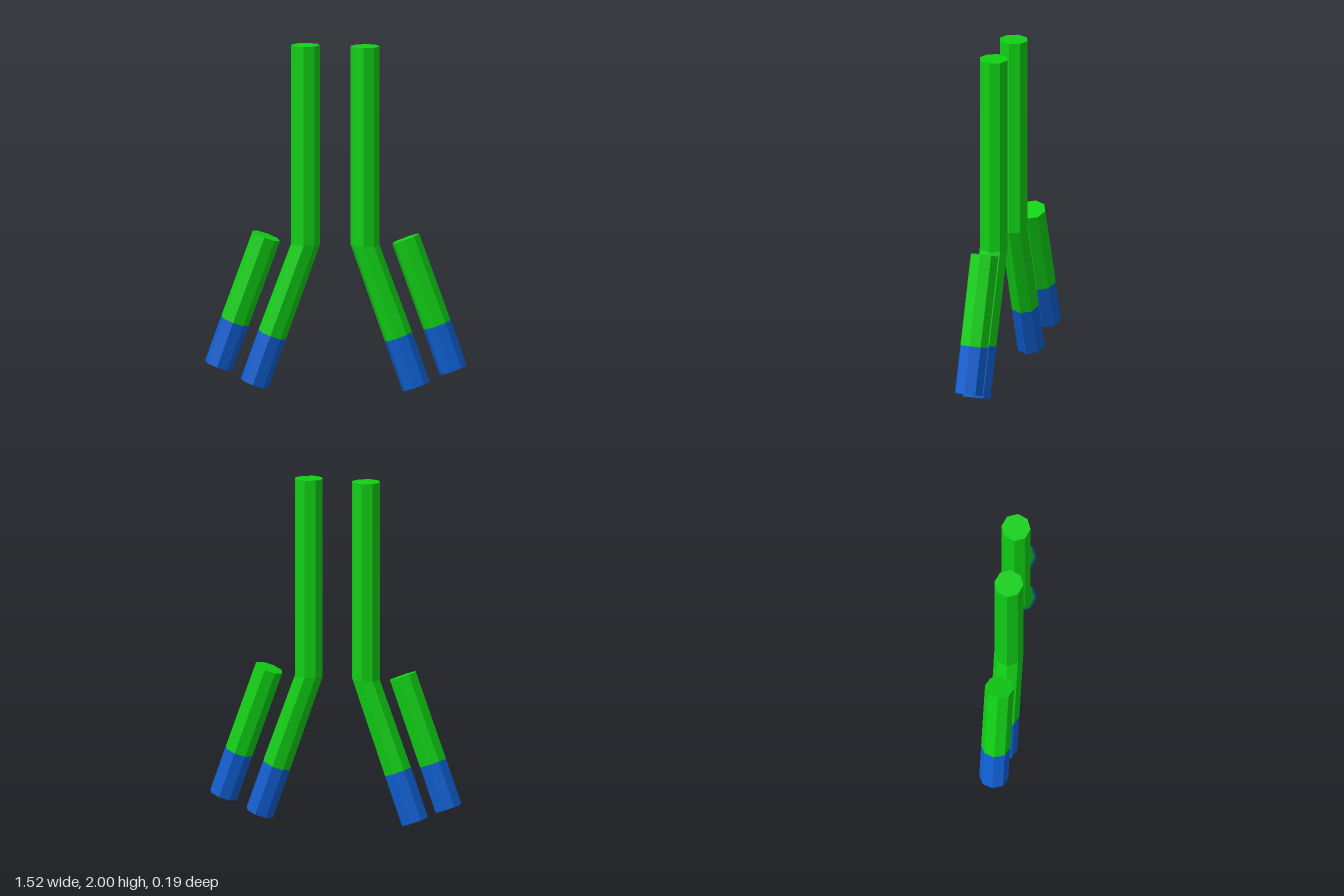
import * as THREE from 'three';

const SIDES = 8;
const RADIUS = 0.084;
const TILT = THREE.MathUtils.degToRad(20);
const green = new THREE.MeshStandardMaterial({ color: 0x10d015, flatShading: true });
const blue = new THREE.MeshStandardMaterial({ color: 0x0f5fd2, flatShading: true });

// Octagonal tube through rings [x, y, tilt] listed from top to bottom.
// side = 1 for +x, -1 for the mirrored copy.
function tube(name, material, rings, z, side, capTop, capBottom) {
  const positions = [];
  const index = [];
  for (const [x, y, tilt] of rings) {
    for (let i = 0; i < SIDES; i++) {
      const a = (i / SIDES) * Math.PI * 2;
      const u = RADIUS * Math.cos(a);
      positions.push(side * (x + u * Math.cos(tilt)), y + u * Math.sin(tilt), z + RADIUS * Math.sin(a));
    }
  }
  const tri = (a, b, c) => (side > 0 ? index.push(a, b, c) : index.push(a, c, b));
  // walls
  for (let r = 0; r < rings.length - 1; r++) {
    for (let i = 0; i < SIDES; i++) {
      const j = (i + 1) % SIDES;
      const a = r * SIDES + i, b = r * SIDES + j;
      tri(a, b, a + SIDES);
      tri(b, b + SIDES, a + SIDES);
    }
  }
  // end caps
  const last = (rings.length - 1) * SIDES;
  for (let i = 1; i < SIDES - 1; i++) {
    if (capTop) tri(0, i + 1, i);
    if (capBottom) tri(last, last + i, last + i + 1);
  }
  const geometry = new THREE.BufferGeometry();
  geometry.setAttribute('position', new THREE.Float32BufferAttribute(positions, 3));
  geometry.setIndex(index);
  geometry.computeVertexNormals();
  const mesh = new THREE.Mesh(geometry, material);
  mesh.name = name;
  return mesh;
}

export function createModel() {
  const model = new THREE.Group();
  model.name = 'antibody';

  for (const side of [1, -1]) {
    const label = side > 0 ? 'left' : 'right';

    // long bent chain: upright stem, slanted arm, blue tip
    const heavy = new THREE.Group();
    heavy.name = label + 'HeavyChain';
    const heavyJoin = [0.366, 0.315, TILT];
    heavy.add(
      tube('constantRegion', green, [[0.173, 2, 0], [0.173, 0.845, 0], heavyJoin], 0.013, side, true, false),
      tube('variableRegion', blue, [heavyJoin, [0.469, 0.029, TILT]], 0.013, side, false, true)
    );

    // short straight chain beside the arm
    const light = new THREE.Group();
    light.name = label + 'LightChain';
    const lightJoin = [0.586, 0.385, TILT];
    light.add(
      tube('constantRegion', green, [[0.404, 0.883, TILT], lightJoin], -0.013, side, true, false),
      tube('variableRegion', blue, [lightJoin, [0.68, 0.124, TILT]], -0.013, side, false, true)
    );

    model.add(heavy, light);
  }
  return model;
}
